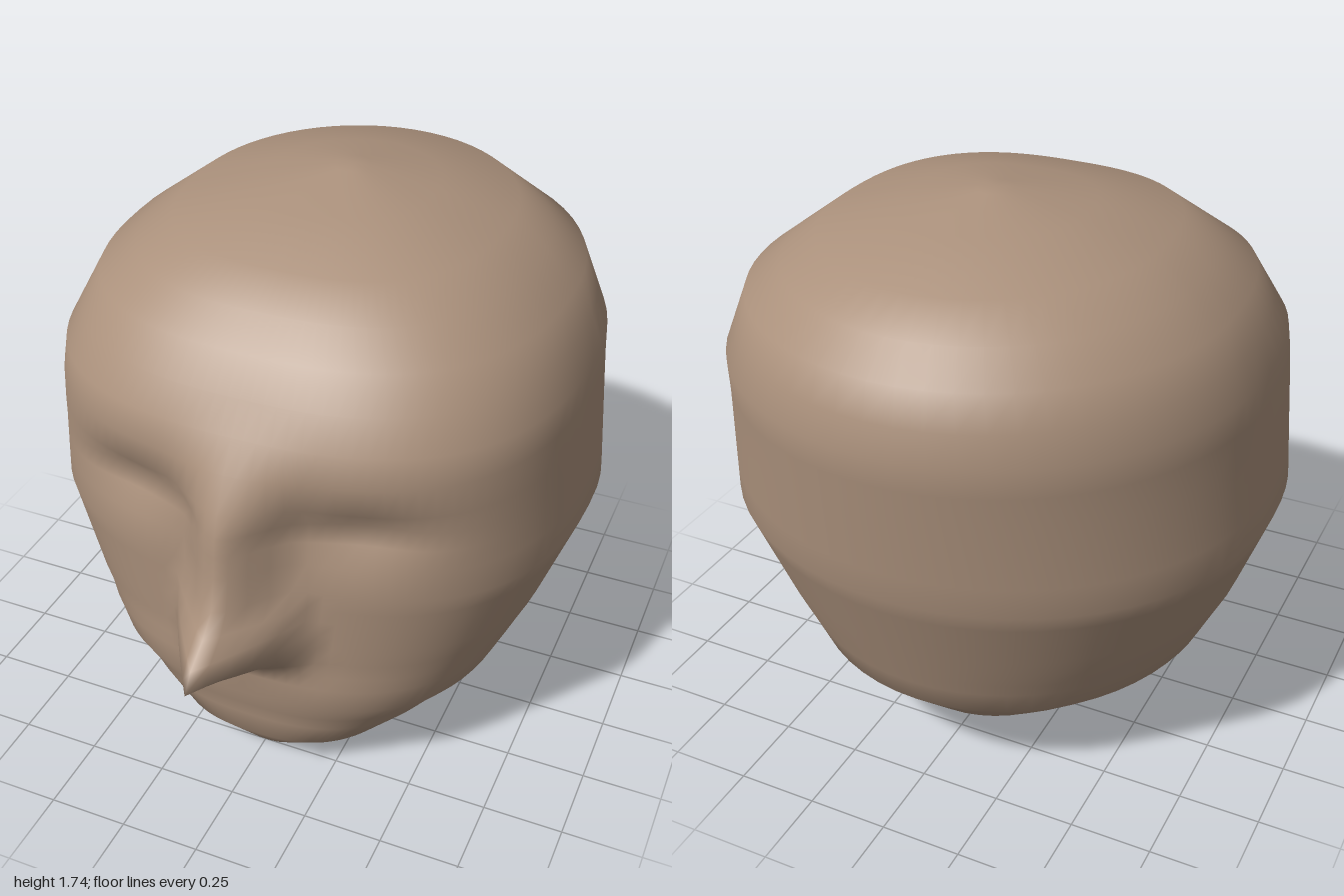
import * as THREE from 'three';

// Linear interpolation through [y, value] pairs
function curve(keys) {
  return (y) => {
    for (let i = 1; i < keys.length; i++) {
      if (y <= keys[i][0]) {
        const [y0, v0] = keys[i - 1], [y1, v1] = keys[i];
        return v0 + (v1 - v0) * Math.max(0, (y - y0) / (y1 - y0));
      }
    }
    return keys[keys.length - 1][1];
  };
}

// Skull outline by height
const halfWidth = curve([[0, 0.2], [0.11, 0.42], [0.2, 0.53], [0.32, 0.65], [0.52, 0.745],
  [0.8, 0.848], [1.29, 0.805], [1.48, 0.715], [1.64, 0.5], [1.7, 0.27], [1.74, 0.05]]);
const frontZ = curve([[0, 0.5], [0.11, 0.585], [0.2, 0.6], [0.25, 0.606], [0.32, 0.63], [0.41, 0.635],
  [0.46, 0.628], [0.8, 0.645], [1.1, 0.67], [1.2, 0.675], [1.29, 0.655], [1.48, 0.53],
  [1.64, 0.33], [1.7, 0.08], [1.74, -0.15]]);
const backZ = curve([[0, -0.39], [0.11, -0.56], [0.32, -0.775], [0.8, -0.945], [1.29, -1],
  [1.48, -0.945], [1.64, -0.75], [1.7, -0.49], [1.74, -0.27]]);

// Nose ridge height and half width, and depth of the eye sockets
const noseHeight = curve([[0.41, 0], [0.46, 0.025], [0.52, 0.12], [0.58, 0.26], [0.635, 0.363],
  [0.69, 0.32], [0.74, 0.24], [0.8, 0.175], [0.9, 0.145], [1.03, 0.12], [1.1, 0.09], [1.2, 0.035], [1.29, 0]]);
const noseWidth = curve([[0.46, 0.25], [0.635, 0.215], [0.8, 0.2], [1.03, 0.19], [1.2, 0.28]]);
const eyeDepth = curve([[0.8, 0], [0.9, 0.012], [0.97, 0.05], [1.03, 0.07], [1.1, 0.015], [1.2, 0]]);

const ROWS = [0, 0.11, 0.2, 0.25, 0.32, 0.41, 0.46, 0.52, 0.58, 0.635, 0.69, 0.74, 0.8, 0.9,
  0.97, 1.03, 1.1, 1.2, 1.29, 1.38, 1.48, 1.56, 1.64, 1.7, 1.74];
const COLS = 80;

// Superellipse cross-section, squarer at the face, with the features pushed in or out
function headPoint(y, j) {
  const u = (2 * j) / COLS - 1;
  const a = Math.PI * Math.sign(u) * Math.abs(u) ** 1.4;
  const s = Math.sin(a), c = Math.cos(a);
  const f = frontZ(y), b = backZ(y);
  const mid = (f + b) / 2, depth = (f - b) / 2;
  const e = c > 0 ? 2 / 2.6 : 1;
  const x = halfWidth(y) * Math.sign(s) * Math.abs(s) ** e;
  let z = mid + depth * Math.sign(c) * Math.abs(c) ** e;
  if (c > 0) {
    const t = Math.max(0, 1 - Math.abs(x) / noseWidth(y));
    const soft = t * t * (3 - 2 * t);
    z += noseHeight(y) * (y < 0.75 ? t ** 0.9 : soft);
    z -= eyeDepth(y) * Math.exp(-(((Math.abs(x) - 0.35) / 0.19) ** 2));
  }
  return [x, y, z];
}

function headGeometry() {
  const positions = [], index = [];
  for (const y of ROWS) for (let j = 0; j < COLS; j++) positions.push(...headPoint(y, j));
  const bottom = ROWS.length * COLS, top = bottom + 1;
  positions.push(0, 0, 0.05, 0, 1.742, -0.21);

  const last = (ROWS.length - 1) * COLS;
  for (let j = 0; j < COLS; j++) {
    const k = (j + 1) % COLS;
    for (let r = 0; r < last; r += COLS) {
      index.push(r + j, r + k, r + COLS + k, r + j, r + COLS + k, r + COLS + j);
    }
    // Close the neck base and the crown
    index.push(k, j, bottom, last + j, last + k, top);
  }
  const geometry = new THREE.BufferGeometry();
  geometry.setAttribute('position', new THREE.Float32BufferAttribute(positions, 3));
  geometry.setIndex(index);
  geometry.computeVertexNormals();
  return geometry;
}

export function createModel() {
  const skin = new THREE.MeshStandardMaterial({ color: 0xab917c });
  skin.name = 'skin';
  const head = new THREE.Mesh(headGeometry(), skin);
  head.name = 'head';
  const model = new THREE.Group();
  model.name = 'headModel';
  model.add(head);
  return model;
}
